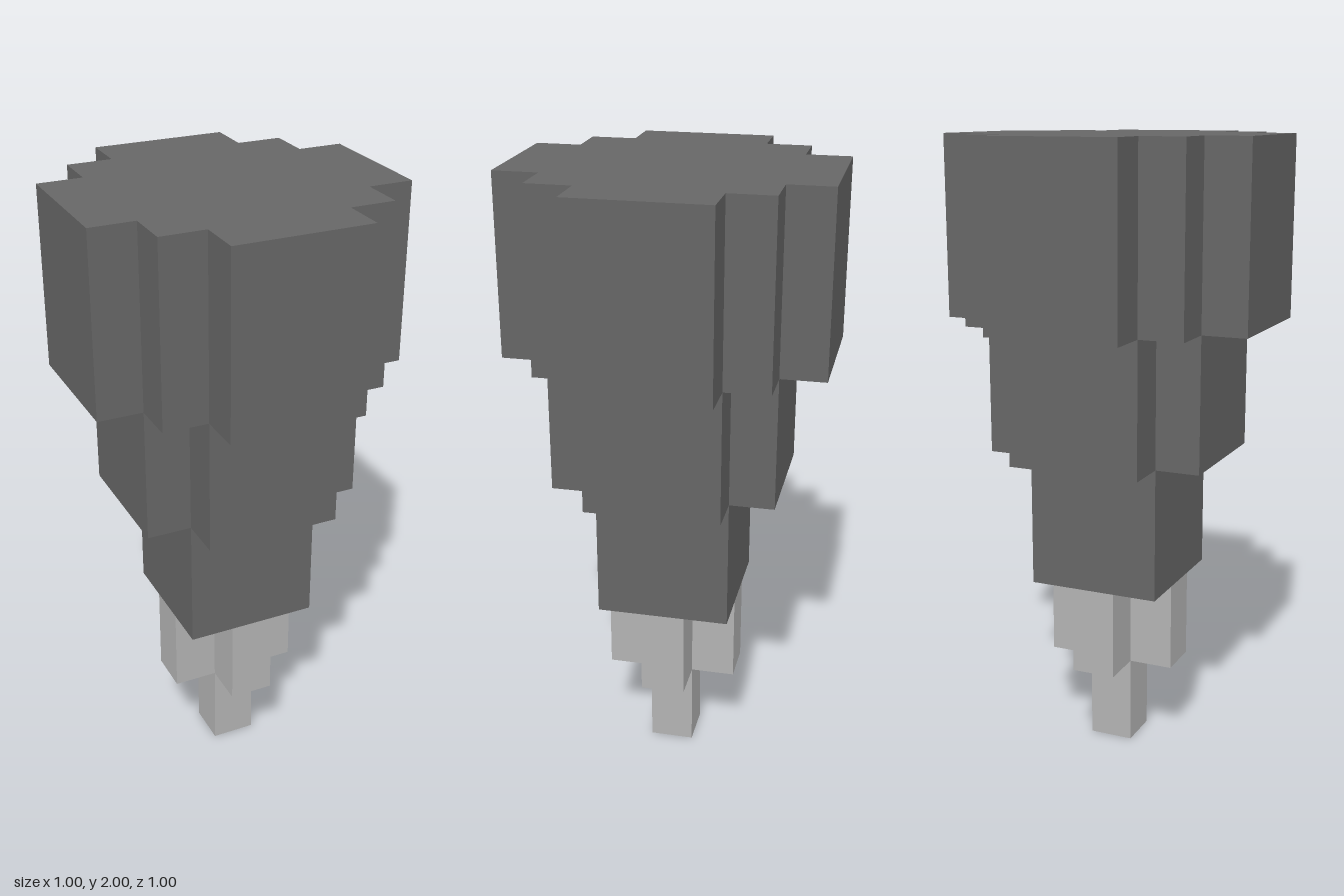
import * as THREE from 'three';

const U = 1 / 7; // size of one block

// Four-fold symmetric prism: one corner's outline is repeated by quarter turns.
function steppedPrism(corner, bottom, top) {
  const points = [];
  for (let q = 0; q < 4; q++) {
    const turn = (q * Math.PI) / 2;
    for (const [x, y] of corner) {
      points.push(new THREE.Vector2(x * U, y * U).rotateAround(new THREE.Vector2(), turn));
    }
  }
  const geometry = new THREE.ExtrudeGeometry(new THREE.Shape(points), {
    depth: (top - bottom) * U,
    bevelEnabled: false,
  });
  return geometry.rotateX(-Math.PI / 2).translate(0, bottom * U, 0);
}

export function createModel() {
  const group = new THREE.Group();
  const darkStone = new THREE.MeshStandardMaterial({ color: 0x666666 });
  darkStone.name = 'darkStone';
  const paleTip = new THREE.MeshStandardMaterial({ color: 0xb3b3b3 });
  paleTip.name = 'paleTip';

  // Tiers: name, corner outline, bottom and top in blocks, material
  const tiers = [
    ['tipPoint', [[0.5, 0.5]], 0, 2, paleTip],
    ['tipCross', [[1.5, 0.5], [0.5, 0.5], [0.5, 1.5]], 2, 4, paleTip],
    ['lowerTier', [[1.5, 1.5]], 4, 7, darkStone],
    ['middleTier', [[2.5, 1.5], [1.5, 1.5], [1.5, 2.5]], 7, 10, darkStone],
    ['upperTier', [[3.5, 1.5], [2.5, 1.5], [2.5, 2.5], [1.5, 2.5], [1.5, 3.5]], 10, 14, darkStone],
  ];
  for (const [name, corner, bottom, top, material] of tiers) {
    const mesh = new THREE.Mesh(steppedPrism(corner, bottom, top), material);
    mesh.name = name;
    group.add(mesh);
  }
  return group;
}
